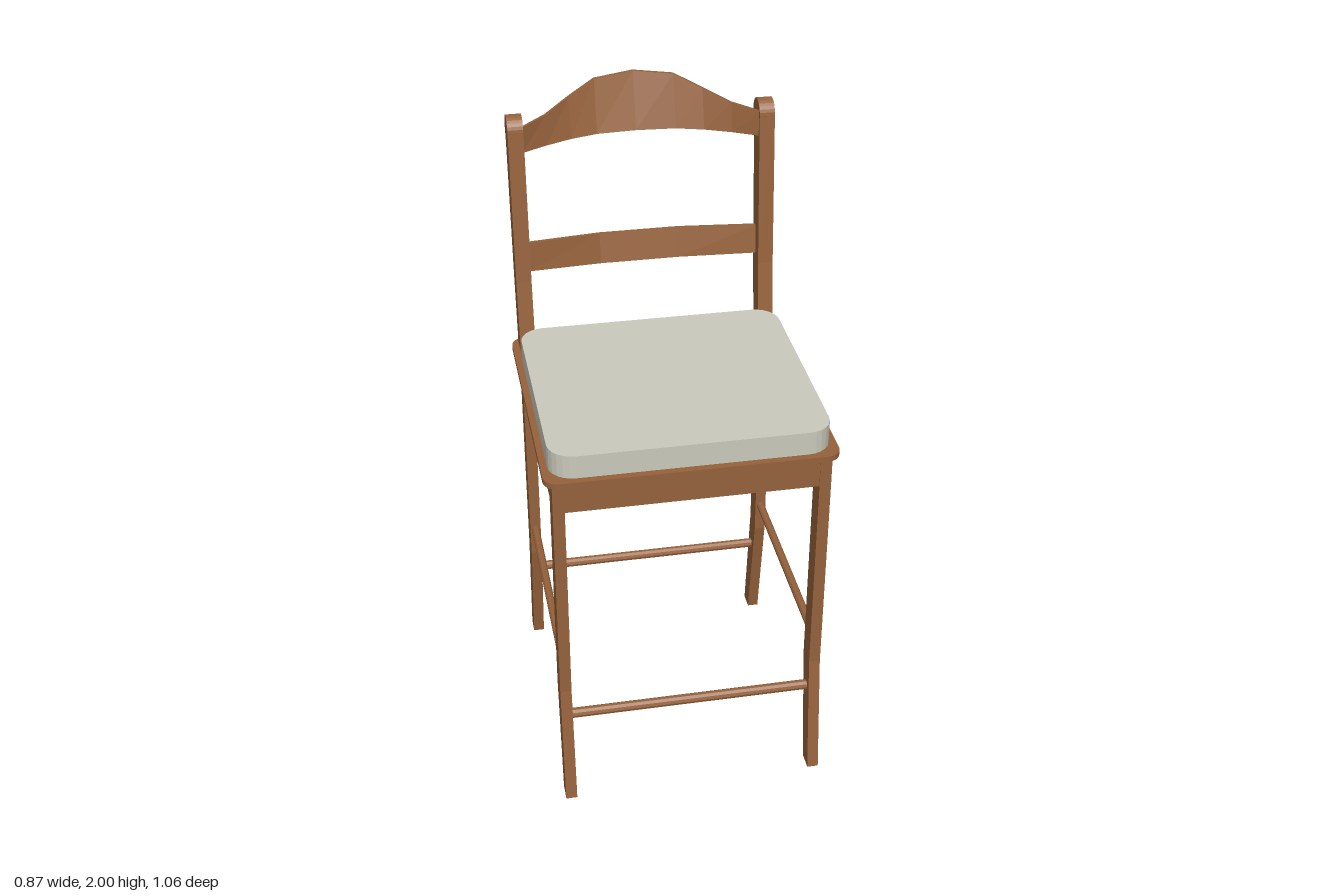
import * as THREE from 'three';

const wood = new THREE.MeshStandardMaterial({ color: 0x96623c, flatShading: true });
const fabric = new THREE.MeshStandardMaterial({ color: 0xcacabd, flatShading: true });

function add(parent, name, geometry, material = wood) {
  const mesh = new THREE.Mesh(geometry, material);
  mesh.name = name;
  parent.add(mesh);
  return mesh;
}

// Side profile drawn in (z, y), extruded along x and centred on x
function sideProfile(shape, x, width) {
  const g = new THREE.ExtrudeGeometry(shape, { depth: width, bevelEnabled: false, curveSegments: 8 });
  return g.rotateY(-Math.PI / 2).translate(x + width / 2, 0, 0);
}

// Horizontal slab with rounded corners
function slab(halfX, zBack, zFront, yBottom, yTop, r) {
  const s = new THREE.Shape();
  const a = halfX - r, f = -zFront + r, b = -zBack - r;
  s.absarc(a, b, r, 0, Math.PI / 2);
  s.absarc(-a, b, r, Math.PI / 2, Math.PI);
  s.absarc(-a, f, r, Math.PI, Math.PI * 1.5);
  s.absarc(a, f, r, Math.PI * 1.5, Math.PI * 2);
  const g = new THREE.ExtrudeGeometry(s, { depth: yTop - yBottom, bevelEnabled: false, curveSegments: 3 });
  return g.rotateX(-Math.PI / 2).translate(0, yBottom, 0);
}

// Bowed back rail lofted through half stations [x, yBottom, yTop, zBottom, zTop], mirrored in x
function rail(half, thick) {
  const stations = [
    ...half.slice(1).reverse().map(([x, ...rest]) => [-x, ...rest]),
    ...half,
  ];
  const rings = stations.map(([x, yb, yt, zb, zt]) => [
    [x, yb, zb], [x, yt, zt], [x, yt, zt - thick], [x, yb, zb - thick],
  ]);
  const pos = [];
  const quad = (a, b, c, d) => pos.push(...a, ...b, ...c, ...a, ...c, ...d);
  for (let i = 0; i < rings.length - 1; i++) {
    for (let k = 0; k < 4; k++) {
      const n = (k + 1) % 4;
      quad(rings[i][k], rings[i + 1][k], rings[i + 1][n], rings[i][n]);
    }
  }
  const end = rings[rings.length - 1];
  quad(rings[0][0], rings[0][1], rings[0][2], rings[0][3]);
  quad(end[3], end[2], end[1], end[0]);
  const g = new THREE.BufferGeometry();
  g.setAttribute('position', new THREE.Float32BufferAttribute(pos, 3));
  g.computeVertexNormals();
  return g;
}

export function createModel() {
  const chair = new THREE.Group();
  chair.name = 'chair';

  // Legs splayed below a knee
  const polygon = (pts) => new THREE.Shape(pts.map(([z, y]) => new THREE.Vector2(z, y)));
  const frontLeg = polygon([[0.472, 0], [0.53, 0], [0.48, 0.4], [0.48, 1.165], [0.414, 1.165], [0.414, 0.388]]);
  const backLeg = polygon([[-0.385, 0], [-0.328, 0], [-0.268, 0.388], [-0.268, 1.165], [-0.337, 1.165], [-0.337, 0.4]]);

  // Back post with a bend and a rounded top
  const post = new THREE.Shape();
  post.moveTo(-0.34, 1.18);
  post.lineTo(-0.27, 1.18);
  post.lineTo(-0.302, 1.41);
  post.lineTo(-0.342, 1.89);
  post.absarc(-0.385, 1.893, 0.043, 0, Math.PI * 1.2, false);
  post.lineTo(-0.412, 1.84);
  post.lineTo(-0.372, 1.41);

  for (const [side, sx] of [['left', 1], ['right', -1]]) {
    add(chair, side + 'FrontLeg', sideProfile(frontLeg, sx * 0.394, 0.035));
    add(chair, side + 'BackLeg', sideProfile(backLeg, sx * 0.394, 0.035));
    add(chair, side + 'BackPost', sideProfile(post, sx * 0.389, 0.048));
    const bar = new THREE.CylinderGeometry(0.013, 0.013, 0.7, 10).rotateX(Math.PI / 2);
    add(chair, side + 'Stretcher', bar.translate(sx * 0.394, 0.486, 0.073));
    // Side apron
    add(chair, side + 'Apron', new THREE.BoxGeometry(0.03, 0.1, 0.76).translate(sx * 0.394, 1.115, 0.073));
  }

  // Front and back aprons and stretchers
  for (const [end, zApron, zBar] of [['front', 0.461, 0.46], ['back', -0.318, -0.319]]) {
    add(chair, end + 'Apron', new THREE.BoxGeometry(0.79, 0.1, 0.034).translate(0, 1.115, zApron));
    const bar = new THREE.CylinderGeometry(0.016, 0.016, 0.77, 10).rotateZ(Math.PI / 2);
    add(chair, end + 'Stretcher', bar.translate(0, 0.292, zBar));
  }

  // Seat board and cushion
  add(chair, 'seatBoard', slab(0.435, -0.362, 0.504, 1.165, 1.183, 0.045));
  add(chair, 'cushion', slab(0.415, -0.278, 0.482, 1.183, 1.257, 0.075), fabric);

  // Crest rail leaning back, and the lower back rail
  add(chair, 'crestRail', rail([
    [0, 1.825, 2.0, -0.468, -0.519],
    [0.125, 1.825, 1.988, -0.46, -0.503],
    [0.21, 1.825, 1.95, -0.434, -0.465],
    [0.29, 1.826, 1.917, -0.395, -0.412],
    [0.37, 1.828, 1.905, -0.345, -0.352],
  ], 0.012));
  add(chair, 'lowerRail', rail([
    [0, 1.403, 1.498, -0.409, -0.428],
    [0.128, 1.403, 1.498, -0.409, -0.428],
    [0.37, 1.432, 1.523, -0.336, -0.35],
  ], 0.012));

  return chair;
}
